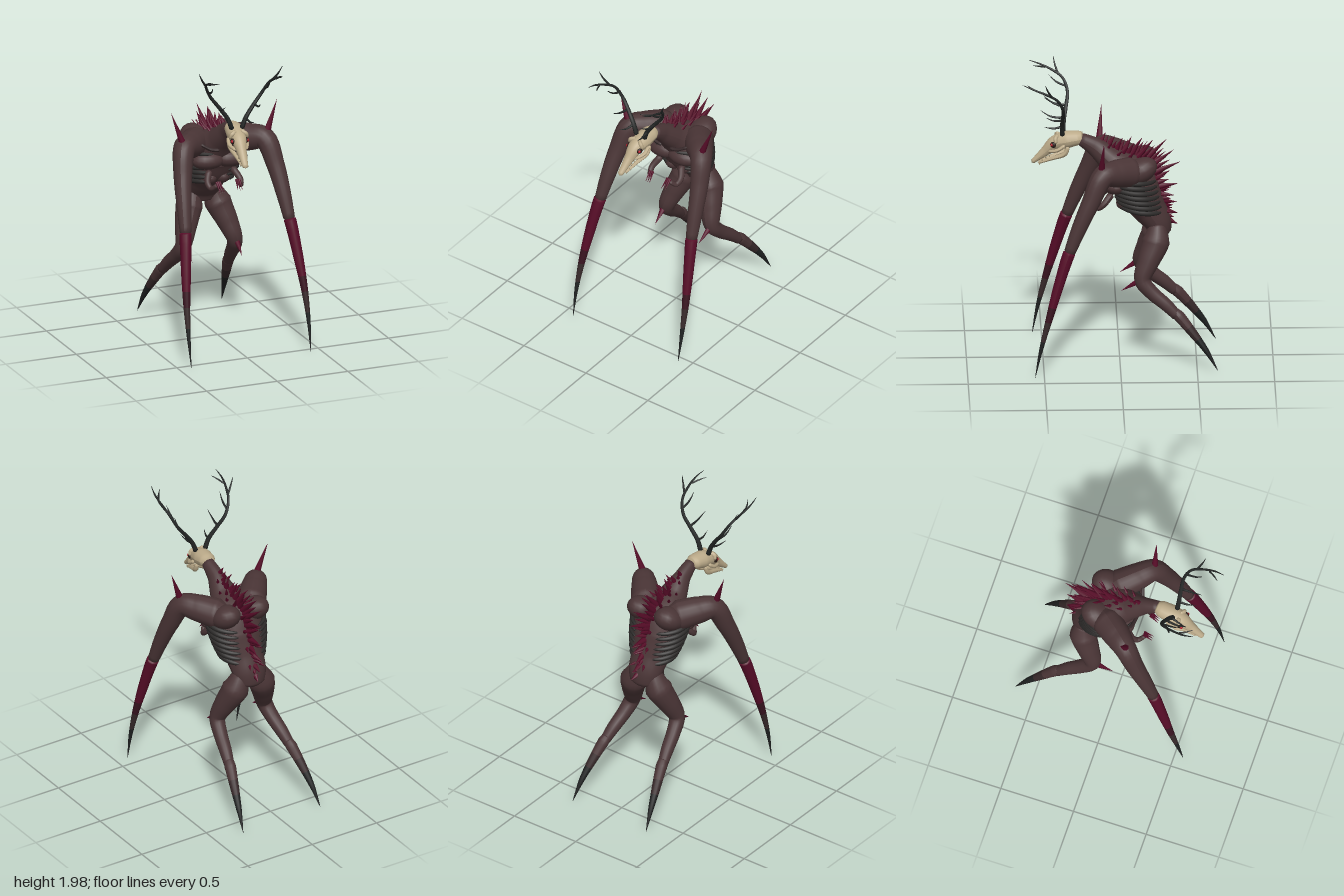
import * as THREE from 'three';

const mat = (name, color) =>
  Object.assign(new THREE.MeshStandardMaterial({ color }), { name });
const M = {
  flesh: mat('flesh', 0x4a3536),
  darkFlesh: mat('dark flesh', 0x37292a),
  crimson: mat('crimson', 0x560c27),
  darkCrimson: mat('dark crimson', 0x391420),
  claw: mat('black claw', 0x1f2121),
  rib: mat('charcoal rib', 0x2c2a29),
  antler: mat('antler', 0x232625),
  bone: mat('bone', 0xbcab8a),
  socket: mat('socket', 0x2a1d18),
  eye: mat('eye red', 0xb51c2a),
};
const V = (a) => new THREE.Vector3(...a);

// Tapered tube through points; a radius may be a number or [across x, in the yz plane].
// material may be bands: [[material, end fraction], ...] along the length.
function limb(name, pts, radii, material, sides = 14, perSeg = 6) {
  const curve = new THREE.CatmullRomCurve3(pts.map(V));
  curve.getPointAt = curve.getPoint;
  curve.getTangentAt = curve.getTangent;
  const n = (pts.length - 1) * perSeg;
  const geo = new THREE.TubeGeometry(curve, n, 1, sides);
  const pos = geo.attributes.position, c = new THREE.Vector3(), p = new THREE.Vector3();
  const pair = (r) => (Array.isArray(r) ? r : [r, r]);
  for (let i = 0; i <= n; i++) {
    const k = Math.min(Math.floor(i / perSeg), radii.length - 2);
    const f = i / perSeg - k, a = pair(radii[k]), b = pair(radii[k + 1]);
    const end = i === 0 || i === n ? 0.02 : 1; // close the ends
    const rx = THREE.MathUtils.lerp(a[0], b[0], f) * end;
    const rz = THREE.MathUtils.lerp(a[1], b[1], f) * end;
    curve.getPoint(i / n, c);
    for (let j = 0; j <= sides; j++) {
      const q = i * (sides + 1) + j;
      p.fromBufferAttribute(pos, q).sub(c);
      pos.setXYZ(q, c.x + p.x * rx, c.y + p.y * rz, c.z + p.z * rz);
    }
  }
  geo.computeVertexNormals();
  let mats = material;
  if (Array.isArray(material)) {
    let start = 0;
    mats = material.map(([m, to], i) => {
      const stop = Math.round(to * n);
      geo.addGroup(start * sides * 6, (stop - start) * sides * 6, i);
      start = stop;
      return m;
    });
  }
  const mesh = new THREE.Mesh(geo, mats);
  mesh.name = name;
  return mesh;
}

// Cone from base to tip
function spike(name, base, tip, r, material = M.crimson) {
  const a = V(base), d = V(tip).sub(a);
  const mesh = new THREE.Mesh(new THREE.ConeGeometry(r, d.length(), 7), material);
  mesh.position.copy(a).addScaledVector(d, 0.5);
  mesh.quaternion.setFromUnitVectors(new THREE.Vector3(0, 1, 0), d.normalize());
  mesh.name = name;
  return mesh;
}

function blob(name, at, size, material, rot = [0, 0, 0]) {
  const mesh = new THREE.Mesh(new THREE.SphereGeometry(1, 18, 12), material);
  mesh.position.set(...at);
  mesh.scale.set(...size);
  mesh.rotation.set(...rot);
  mesh.name = name;
  return mesh;
}

function buildTorso(g) {
  g.add(limb('torso',
    [[0, 1.53, 0.27], [0, 1.465, 0.16], [0, 1.38, 0.06], [0, 1.275, -0.06], [0, 1.16, -0.12],
      [0, 1.04, -0.19], [0, 0.95, -0.245], [0, 0.88, -0.26], [0, 0.85, -0.26]],
    [0.038, [0.052, 0.062], [0.095, 0.085], [0.178, 0.148], [0.175, 0.148],
      [0.128, 0.115], [0.118, 0.092], [0.1, 0.077], 0.03], M.flesh, 24));
  for (const s of [1, -1]) {
    g.add(blob('shoulderBlade', [s * 0.11, 1.335, -0.13], [0.095, 0.08, 0.12], M.flesh, [0.5, 0, 0]));
    g.add(blob('pectoral', [s * 0.078, 1.235, 0.03], [0.117, 0.064, 0.082], M.flesh));
    g.add(blob('bellyMuscle', [s * 0.045, 1.09, -0.06], [0.06, 0.055, 0.085], M.flesh));
    g.add(limb('collarbone', [[s * 0.03, 1.32, 0.115], [s * 0.09, 1.33, 0.11], [s * 0.16, 1.37, 0.09]],
      [0.012, 0.012, 0.01], M.darkFlesh, 8));
    // Ribs wrap from beside the spine to the open front, dipping at the back
    for (let i = 0; i < 7; i++) {
      const t = i / 6, w = 0.194 - 0.045 * t * t, pts = [];
      for (let k = 0; k <= 6; k++) {
        const a = 0.42 + k * 0.395, z = Math.cos(a);
        pts.push([s * w * Math.sin(a), 1.275 - 0.037 * i - 0.02 * z,
          -0.07 - 0.07 * t - z * (0.183 - 0.03 * t)]);
      }
      g.add(limb('rib', pts, [0.008, 0.014, 0.017, 0.017, 0.015, 0.013, 0.006], M.rib, 8, 4));
    }
    // Small chest arms with clawed fingers
    g.add(limb('smallArm', [[s * 0.08, 1.17, 0.05], [s * 0.115, 1.1, 0.11], [s * 0.105, 1.075, 0.145],
      [s * 0.075, 1.11, 0.185]], [0.024, 0.02, 0.017, 0.014], M.flesh, 10));
    for (const f of [-1, 0, 1])
      g.add(spike('smallFinger', [s * 0.07 + f * 0.01, 1.125, 0.175],
        [s * 0.063 + f * 0.016, 1.065, 0.235], 0.009));
  }
}

function buildBackSpikes(g) {
  // Each entry: base z, y, tip z, y
  const row = [[0.14, 1.49, 0.09, 1.56], [0.09, 1.46, 0.03, 1.545], [0.04, 1.435, -0.02, 1.535],
    [-0.01, 1.42, -0.08, 1.53], [-0.06, 1.41, -0.15, 1.53], [-0.1, 1.39, -0.22, 1.52],
    [-0.14, 1.37, -0.31, 1.51], [-0.18, 1.34, -0.355, 1.44], [-0.2, 1.3, -0.4, 1.365],
    [-0.22, 1.26, -0.33, 1.29], [-0.23, 1.21, -0.385, 1.205], [-0.24, 1.16, -0.36, 1.13],
    [-0.26, 1.11, -0.375, 1.07], [-0.28, 1.05, -0.38, 1.0], [-0.3, 0.99, -0.38, 0.93]];
  row.forEach((r, i) => {
    const [z, y, tz, ty] = r;
    g.add(spike('backSpike', [0, y - 0.025, z], [(i % 3 - 1) * 0.018, ty, tz], 0.028));
    // Shorter spikes fill the gaps along the ridge
    if (i < 14) {
      const m = r.map((v, k) => (v + row[i + 1][k]) / 2);
      const tip = [m[0] + (m[2] - m[0]) * 0.75, m[1] + (m[3] - m[1]) * 0.75];
      g.add(spike('ridgeSpike', [0, m[1] - 0.025, m[0]], [(i % 2 - 0.5) * 0.05, tip[1], tip[0]], 0.026));
    }
    if (i % 2) for (const s of [1, -1])
      g.add(spike('sideSpike', [s * 0.022, y - 0.02, z],
        [s * 0.058, y + (ty - y) * 0.7, z + (tz - z) * 0.7], 0.017));
  });
  for (const s of [1, -1])
    for (const [z, y] of [[0.04, 1.41], [-0.04, 1.4], [-0.12, 1.39]])
      g.add(spike('shoulderBladeSpike', [s * 0.035, y - 0.025, z], [s * 0.085, y + 0.06, z - 0.06], 0.02));
}

function buildLimbs(g) {
  for (const s of [1, -1]) {
    const side = (pts) => pts.map(([x, y, z]) => [s * x, y, z]);
    g.add(limb('arm', side([[0.07, 1.325, -0.14], [0.135, 1.335, -0.06], [0.215, 1.355, 0.035], [0.285, 1.36, 0.115],
      [0.328, 1.2, 0.195], [0.352, 1.02, 0.275], [0.37, 0.84, 0.345]]),
    [0.05, 0.1, 0.09, 0.073, 0.06, 0.049, 0.036], M.flesh, 18));
    g.add(limb('armBlade', side([[0.368, 0.875, 0.333], [0.378, 0.8, 0.36], [0.4, 0.6, 0.42], [0.418, 0.4, 0.475],
      [0.425, 0.2, 0.525], [0.423, 0.01, 0.562]]),
    [0.041, 0.039, 0.032, 0.022, 0.012, 0.001],
    [[M.crimson, 0.5], [M.darkCrimson, 0.6], [M.darkFlesh, 0.73], [M.claw, 1]]));
    g.add(spike('shoulderSpike', [s * 0.295, 1.4, 0.125], [s * 0.375, 1.62, 0.11], 0.025));

    g.add(limb('leg', side([[0.055, 0.97, -0.245], [0.1, 0.84, -0.235], [0.145, 0.72, -0.185], [0.182, 0.6, -0.145],
      [0.2, 0.52, -0.205], [0.22, 0.44, -0.3], [0.238, 0.36, -0.38]]),
    [0.045, 0.09, 0.073, 0.053, 0.047, 0.042, 0.033], M.flesh, 16));
    g.add(limb('footClaw', side([[0.23, 0.4, -0.35], [0.238, 0.365, -0.385], [0.262, 0.255, -0.475],
      [0.283, 0.14, -0.56], [0.3, 0.005, -0.637]]),
    [0.03, 0.038, 0.029, 0.018, 0.001],
    [[M.flesh, 0.4], [M.darkFlesh, 0.6], [M.claw, 1]]));
    g.add(spike('kneeSpike', [s * 0.185, 0.59, -0.11], [s * 0.175, 0.525, -0.005], 0.02));
  }
}

function buildHead() {
  const g = new THREE.Group();
  g.name = 'skull';
  g.add(limb('cranium', [[0, 1.53, 0.235], [0, 1.525, 0.27], [0, 1.512, 0.34], [0, 1.487, 0.42], [0, 1.43, 0.48],
    [0, 1.385, 0.53], [0, 1.345, 0.575]],
  [0.035, [0.055, 0.047], [0.062, 0.058], [0.051, 0.048], [0.033, 0.034], [0.025, 0.022], [0.018, 0.014]],
  M.bone, 18));
  for (const s of [1, -1]) {
    g.add(limb('brow', [[s * 0.015, 1.545, 0.4], [s * 0.045, 1.53, 0.415], [s * 0.06, 1.5, 0.41]],
      [0.012, 0.015, 0.01], M.bone, 8));
    g.add(limb('cheekbone', [[s * 0.055, 1.49, 0.35], [s * 0.06, 1.455, 0.4], [s * 0.035, 1.435, 0.465]],
      [0.012, 0.013, 0.01], M.bone, 8));
    g.add(limb('jaw', [[s * 0.045, 1.48, 0.33], [s * 0.042, 1.425, 0.355], [s * 0.025, 1.385, 0.44],
      [s * 0.01, 1.345, 0.535]], [0.012, 0.017, 0.013, 0.009], M.bone, 8));
    g.add(blob('eyeSocket', [s * 0.046, 1.487, 0.43], [0.013, 0.02, 0.021], M.socket, [0, -s * 0.4, 0]));
    g.add(blob('eye', [s * 0.053, 1.489, 0.438], [0.008, 0.01, 0.01], M.eye));
    for (let i = 0; i < 4; i++) {
      const z = 0.46 + i * 0.022, y = 1.415 - i * 0.02, x = s * (0.024 - i * 0.002);
      g.add(spike('tooth', [x, y, z], [x, y - 0.022, z - 0.006], 0.006, M.bone));
    }
    // Antler beam with tines
    const branch = (name, pts, radii) =>
      g.add(limb(name, pts.map(([x, y, z]) => [s * x, y, z]), radii, M.antler, 7, 5));
    branch('antler', [[0.03, 1.54, 0.37], [0.06, 1.62, 0.37], [0.115, 1.7, 0.36], [0.175, 1.78, 0.355],
      [0.215, 1.86, 0.39], [0.235, 1.905, 0.46], [0.245, 1.94, 0.54], [0.235, 1.97, 0.62]],
    [0.017, 0.015, 0.013, 0.011, 0.009, 0.008, 0.006, 0.001]);
    branch('tine', [[0.225, 1.88, 0.42], [0.26, 1.935, 0.445], [0.285, 1.988, 0.46]], [0.008, 0.006, 0.001]);
    branch('tine', [[0.06, 1.62, 0.37], [0.07, 1.61, 0.43], [0.085, 1.625, 0.49]], [0.009, 0.006, 0.001]);
    branch('tine', [[0.12, 1.705, 0.36], [0.125, 1.715, 0.44], [0.12, 1.755, 0.51]], [0.009, 0.006, 0.001]);
    branch('tine', [[0.19, 1.81, 0.36], [0.19, 1.84, 0.43], [0.195, 1.885, 0.48]], [0.008, 0.006, 0.001]);
    branch('tine', [[0.24, 1.92, 0.5], [0.215, 1.935, 0.55], [0.185, 1.95, 0.59]], [0.006, 0.005, 0.001]);
  }
  // Turn the head slightly to its right
  g.position.z = -0.27;
  const head = new THREE.Group();
  head.name = 'head';
  head.add(g);
  head.position.set(-0.008, 0, 0.27);
  head.rotation.y = -0.11;
  return head;
}

export function createModel() {
  const model = new THREE.Group();
  model.name = 'antleredCreature';
  const parts = { torso: buildTorso, backSpikes: buildBackSpikes, limbs: buildLimbs };
  for (const [name, build] of Object.entries(parts)) {
    const g = new THREE.Group();
    g.name = name;
    build(g);
    model.add(g);
  }
  model.add(buildHead());
  return model;
}
